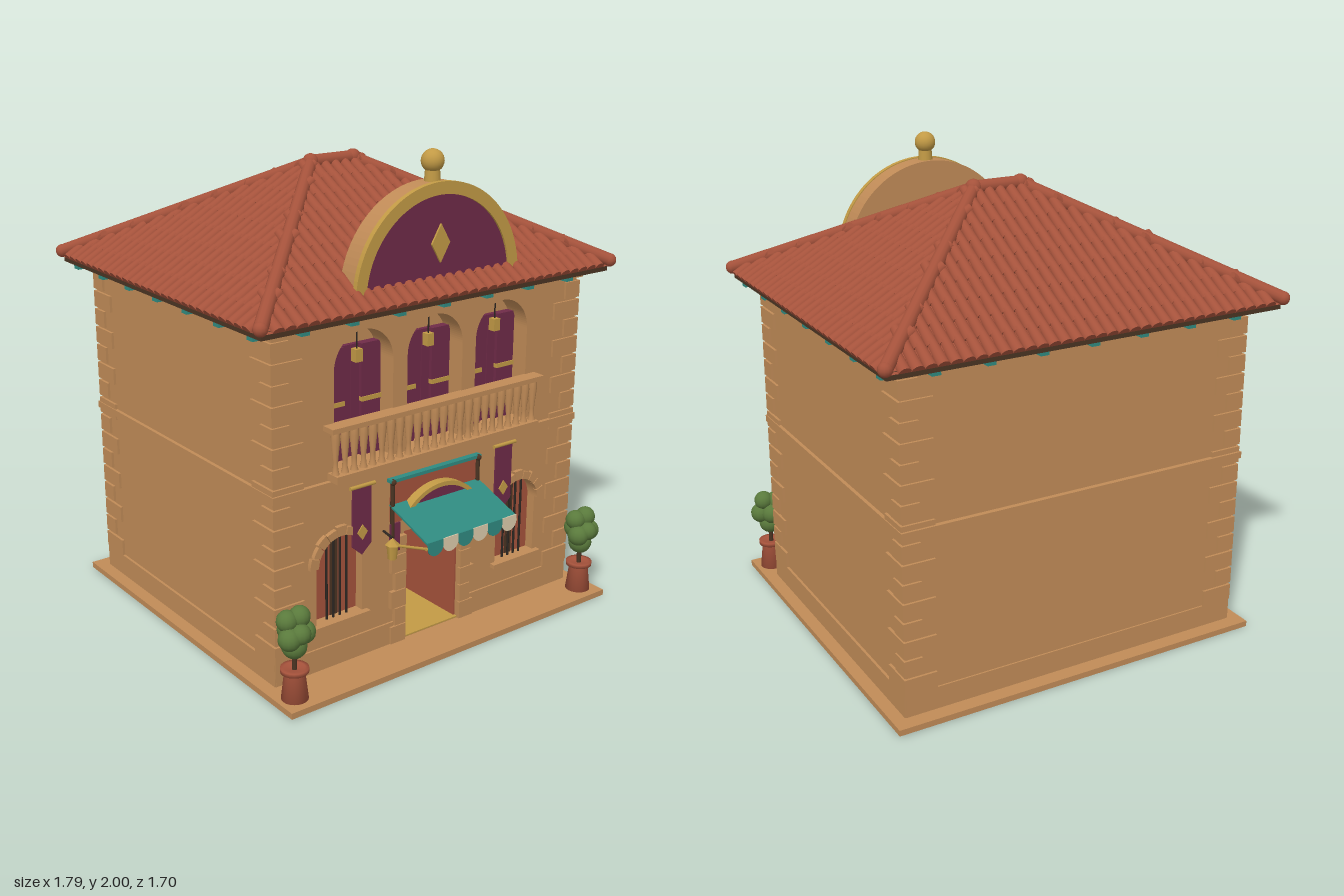
import * as THREE from 'three';
import { mergeGeometries } from 'three/addons/utils/BufferGeometryUtils.js';
import { ConvexGeometry } from 'three/addons/geometries/ConvexGeometry.js';

const mat = (name, color, side = THREE.FrontSide) => {
  const m = new THREE.MeshStandardMaterial({ color, side });
  m.name = name;
  return m;
};
const V = (x, y, z) => new THREE.Vector3(x, y, z);

export function createModel() {
  const root = new THREE.Group();
  root.name = 'townHouse';
  const wall = mat('sandstone', 0xc08b57), clay = mat('terracotta', 0xa5523b);
  const plum = mat('plum', 0x6f2b48, THREE.DoubleSide), gold = mat('gold', 0xc29a45);
  const teal = mat('teal', 0x2f8a80, THREE.DoubleSide), cream = mat('cream', 0xdccbab, THREE.DoubleSide);
  const dark = mat('darkWood', 0x4a3423), iron = mat('iron', 0x2c2621), leaf = mat('leaf', 0x5a7a3c);

  const add = (name, geo, m, x = 0, y = 0, z = 0) => {
    const mesh = new THREE.Mesh(geo, m);
    mesh.name = name;
    mesh.position.set(x, y, z);
    root.add(mesh);
    return mesh;
  };
  // Box given by its extents
  const box = (name, m, x0, x1, y0, y1, z0, z1) =>
    add(name, new THREE.BoxGeometry(x1 - x0, y1 - y0, z1 - z0), m, (x0 + x1) / 2, (y0 + y1) / 2, (z0 + z1) / 2);
  const slab = (shape, depth) => new THREE.ExtrudeGeometry(shape, { depth, bevelEnabled: false, curveSegments: 24 });
  // Round bar between two points
  const rod = (name, m, a, b, r, sides = 8) => {
    const mesh = add(name, new THREE.CylinderGeometry(r, r, a.distanceTo(b), sides), m);
    mesh.position.copy(a).lerp(b, 0.5);
    mesh.quaternion.setFromUnitVectors(V(0, 1, 0), b.clone().sub(a).normalize());
    return mesh;
  };
  // Round-headed opening outline
  const arched = (cx, y0, spring, r, S = THREE.Shape) => {
    const s = new S();
    s.moveTo(cx - r, y0);
    s.lineTo(cx + r, y0);
    s.lineTo(cx + r, spring);
    s.absarc(cx, spring, r, 0, Math.PI, false);
    s.closePath();
    return s;
  };
  const poly = (pts) => new THREE.Shape(pts.map(([x, y]) => new THREE.Vector2(x, y)));
  const ring = (ro, ri, a0 = 0, a1 = Math.PI) => {
    const s = new THREE.Shape();
    s.absarc(0, 0, ro, a0, a1, false);
    s.absarc(0, 0, ri, a1, a0, true);
    s.closePath();
    return s;
  };
  const diamond = (w, h) => slab(poly([[0, -h], [w, 0], [0, h], [-w, 0]]), 0.008);

  // Plinth, walls and openings
  box('plinth', wall, -0.83, 0.83, 0, 0.025, -0.8, 0.79);
  box('wallBody', wall, -0.765, 0.765, 0.025, 1.43, -0.73, 0.2);
  const front = poly([[-0.765, 0.025], [0.765, 0.025], [0.765, 1.43], [-0.765, 1.43]]);
  const upperX = [-0.35, 0, 0.35];
  for (const x of upperX) front.holes.push(arched(x, 0.84, 1.23, 0.14, THREE.Path));
  for (const x of [-0.465, 0.465]) front.holes.push(arched(x, 0.22, 0.465, 0.11, THREE.Path));
  front.holes.push(new THREE.Path(poly([[-0.145, 0.03], [0.145, 0.03], [0.145, 0.5], [-0.145, 0.5]]).getPoints()));
  add('frontWall', slab(front, 0.4), wall, 0, 0, 0.195);
  for (const s of [-1, 1]) {
    box('baseCourseFront', wall, s < 0 ? -0.772 : 0.2, s < 0 ? -0.2 : 0.772, 0.025, 0.12, 0.58, 0.603);
    box('baseCourseSide', wall, s * 0.77 - 0.006, s * 0.77 + 0.006, 0.025, 0.12, -0.735, 0.6);
  }
  box('baseCourseBack', wall, -0.77, 0.77, 0.025, 0.12, -0.737, -0.72);
  box('beltLower', wall, -0.77, 0.77, 0.765, 0.78, -0.737, 0.603);
  // Belts are hollow in effect: both stay clear of the openings
  box('beltUpper', wall, -0.78, 0.78, 0.78, 0.808, -0.75, 0.613);
  box('cornice', wall, -0.785, 0.785, 1.405, 1.432, -0.745, 0.612);

  // Corner quoins, alternately long and short
  for (let i = 0; i < 16; i++) {
    const w = i % 2 ? 0.14 : 0.08, y = 1.355 - 0.08 * i;
    for (const s of [-1, 1]) for (const [zo, d] of [[0.605, -1], [-0.74, 1]]) {
      add('quoin', new THREE.BoxGeometry(w, 0.07, w), wall, s * (0.776 - w / 2), y, zo + d * w / 2);
    }
  }

  // Upper windows with curtains and hanging lamps
  for (const x of upperX) {
    box('windowBack', wall, x - 0.14, x + 0.14, 0.84, 1.38, 0.47, 0.49);
    for (const s of [-1, 1]) {
      const c = x + s * 0.068;
      box('curtain', plum, c - 0.066, c + 0.066, 0.84, 1.29, 0.49, 0.51);
      box('curtainFold', plum, c + s * 0.02 - 0.046, c + s * 0.02 + 0.046, 0.84, 1.29, 0.51, 0.525);
      box('tieback', gold, c + s * 0.02 - 0.047, c + s * 0.02 + 0.047, 1.06, 1.078, 0.51, 0.53);
    }
    rod('lampChain', iron, V(x, 1.28, 0.55), V(x, 1.368, 0.55), 0.003);
    box('lamp', gold, x - 0.016, x + 0.016, 1.235, 1.285, 0.534, 0.566);
  }

  // Balcony
  box('balconyFloor', wall, -0.52, 0.52, 0.81, 0.84, 0.59, 0.655);
  box('balconyRail', wall, -0.54, 0.54, 1.012, 1.032, 0.59, 0.655);
  const baluster = new THREE.LatheGeometry([[0.016, 0], [0.011, 0.02], [0.01, 0.05], [0.019, 0.14], [0.016, 0.173]]
    .map(([r, y]) => new THREE.Vector2(r, y)), 10);
  for (let i = 0; i < 24; i++) add('baluster', baluster, wall, -0.506 + i * 0.044, 0.84, 0.625);

  // Lower windows: shutters, bars, stone arch and sill
  for (const x of [-0.465, 0.465]) {
    add('windowPanel', slab(arched(x, 0.22, 0.465, 0.11), 0.02), clay, 0, 0, 0.535);
    box('windowGap', dark, x - 0.018, x + 0.018, 0.22, 0.56, 0.55, 0.558);
    for (let i = 0; i < 4; i++) {
      const bx = x - 0.048 + i * 0.032;
      rod('windowBar', iron, V(bx, 0.22, 0.575), V(bx, 0.56, 0.575), 0.005);
    }
    for (let i = 0; i < 9; i++) {
      const a = (Math.PI / 9) * i;
      add('archStone', slab(ring(i % 2 ? 0.142 : 0.15, 0.11, a + 0.015, a + Math.PI / 9 - 0.015), 0.02), wall, x, 0.465, 0.593);
    }
    box('windowSill', wall, x - 0.135, x + 0.135, 0.203, 0.22, 0.59, 0.62);
  }

  // Doorway
  box('doorInterior', dark, -0.145, 0.145, 0.03, 0.5, 0.2, 0.208);
  box('threshold', gold, -0.144, 0.144, 0.03, 0.036, 0.208, 0.6);
  for (const s of [-1, 1]) {
    box('openDoor', clay, s * 0.141 - 0.004, s * 0.141 + 0.004, 0.036, 0.5, 0.21, 0.585);
    for (let i = 0; i < 6; i++) {
      const w = i % 2 ? 0.055 : 0.075;
      add('jambStone', new THREE.BoxGeometry(w, 0.074, 0.02), wall, s * (0.145 + w / 2), 0.065 + i * 0.078, 0.603);
    }
    box('doorDrape', plum, s * 0.21 - 0.025, s * 0.21 + 0.025, 0.44, 0.56, 0.613, 0.62);
  }
  for (const y of [0.2, 0.35]) box('doorRail', clay, -0.137, 0.137, y - 0.003, y + 0.003, 0.208, 0.214);

  // Sign panel and lunette above the door
  box('signPanel', clay, -0.22, 0.22, 0.56, 0.735, 0.595, 0.612);
  box('signTop', teal, -0.235, 0.235, 0.733, 0.747, 0.595, 0.622);
  for (const s of [-1, 1]) {
    rod('signPost', dark, V(s * 0.222, 0.5, 0.615), V(s * 0.222, 0.74, 0.615), 0.009);
    add('signKnob', new THREE.SphereGeometry(0.013, 10, 8), dark, s * 0.222, 0.735, 0.618);
  }
  const lunette = new THREE.Shape();
  lunette.absarc(0, 0, 0.22, 0.65, Math.PI - 0.65, false);
  add('lunette', slab(lunette, 0.03), plum, 0, 0.462, 0.612);
  add('lunetteTrim', slab(ring(0.23, 0.212, 0.65, Math.PI - 0.65), 0.04), gold, 0, 0.462, 0.612);

  // Awning with a scalloped valance
  const sheet = new THREE.BoxGeometry(0.46, 0.008, Math.hypot(0.235, 0.085));
  add('awning', sheet, teal, 0, 0.595, 0.7225).rotation.x = Math.atan(0.085 / 0.235);
  for (let i = 0; i < 6; i++) {
    const s = new THREE.Shape();
    s.moveTo(0.038, 0.025);
    s.lineTo(-0.038, 0.025);
    s.lineTo(-0.038, 0);
    s.absellipse(0, 0, 0.038, 0.036, Math.PI, Math.PI * 2, false, 0);
    add('scallop', slab(s, 0.004), i % 2 ? cream : teal, -0.1917 + i * 0.0767, 0.536, 0.838);
  }
  rod('awningBar', gold, V(-0.235, 0.535, 0.835), V(0.235, 0.535, 0.835), 0.006);
  for (const s of [-1, 1]) {
    rod('awningBrace', gold, V(s * 0.225, 0.535, 0.838), V(s * 0.225, 0.465, 0.6), 0.006);
    // Wall lantern
    add('lanternBody', new THREE.CylinderGeometry(0.024, 0.018, 0.06, 6), gold, s * 0.25, 0.462, 0.652);
    add('lanternCap', new THREE.ConeGeometry(0.03, 0.03, 6), gold, s * 0.25, 0.507, 0.652);
    rod('lanternArm', iron, V(s * 0.25, 0.52, 0.652), V(s * 0.25, 0.53, 0.595), 0.005);
    // Hanging banner
    const b = slab(poly([[-0.045, 0.76], [-0.045, 0.51], [0, 0.47], [0.045, 0.51], [0.045, 0.76]]), 0.008);
    add('banner', b, plum, s * 0.37, 0, 0.606);
    add('bannerDiamond', diamond(0.025, 0.032), gold, s * 0.37, 0.565, 0.61);
    rod('bannerRod', gold, V(s * 0.37 - 0.06, 0.758, 0.615), V(s * 0.37 + 0.06, 0.758, 0.615), 0.008);
    // Potted shrub
    const pot = [[0, 0], [0.053, 0], [0.04, 0.11], [0.055, 0.113], [0.055, 0.13], [0.04, 0.13], [0, 0.12]];
    add('pot', new THREE.LatheGeometry(pot.map(([r, y]) => new THREE.Vector2(r, y)), 20), clay, s * 0.757, 0.025, 0.705);
    rod('trunk', dark, V(s * 0.757, 0.14, 0.705), V(s * 0.757, 0.25, 0.705), 0.01);
    [[0, 0.245, 0, 0.05], [-0.035, 0.29, 0.02, 0.045], [0.038, 0.295, 0.01, 0.045], [0, 0.3, -0.035, 0.046],
      [0.005, 0.305, 0.035, 0.04], [-0.025, 0.35, -0.01, 0.042], [0.025, 0.358, 0, 0.042]].forEach(([x, y, z, r]) =>
      add('foliage', new THREE.SphereGeometry(r, 14, 10), leaf, s * 0.757 + x, y, 0.705 + z));
  }

  // Hipped roof: core, eaves and brackets
  const X = 0.87, Z = 0.7625, cz = -0.0775, y0 = 1.455, y1 = 1.865, R = X - Z;
  const roofPts = [V(-R, y1, cz), V(R, y1, cz)];
  for (const sx of [-1, 1]) for (const sz of [-1, 1]) roofPts.push(V(sx * X, y0, cz + sz * Z));
  add('roofCore', new ConvexGeometry(roofPts), clay);
  box('eaves', dark, -0.86, 0.86, 1.432, 1.462, cz - 0.752, cz + 0.752);
  for (let i = -3; i <= 3; i++) for (const s of [-1, 1]) {
    add('eavesBracket', new THREE.BoxGeometry(0.036, 0.022, 0.06), teal, i * 0.22, 1.423, cz + s * 0.705);
    add('eavesBracket', new THREE.BoxGeometry(0.06, 0.022, 0.036), teal, s * 0.82, 1.423, cz + i * 0.222);
  }

  // Barrel tiles: one slope's geometry, then its opposite by rotation
  const slope = Math.atan((y1 - y0) / Z), rows = 9, step = Z / rows;
  const tileGeo = new THREE.CylinderGeometry(0.02, 0.025, (step / Math.cos(slope)) * 1.12, 8, 1, false, -Math.PI / 2, Math.PI);
  tileGeo.rotateX(slope - Math.PI / 2 + 0.07);
  const tiles = (half, dist) => {
    const parts = [], cols = Math.round((2 * half) / 0.05), p = (2 * half) / cols;
    for (let r = 0; r < rows; r++) for (let c = 0; c < cols; c++) {
      const s = (r + 0.5) * step, u = (c + 0.5) * p - half;
      if (Math.abs(u) < half - s + 0.012) parts.push(tileGeo.clone().translate(u, y0 + s * Math.tan(slope) + 0.006, dist - s));
    }
    return mergeGeometries(parts);
  };
  const longSide = tiles(X, Z), shortSide = tiles(Z, X);
  for (let k = 0; k < 4; k++) add('roofTiles', k % 2 ? shortSide : longSide, clay, 0, 0, cz).rotation.y = (k * Math.PI) / 2;

  // Ridge and hip caps
  const ball = new THREE.SphereGeometry(0.034, 14, 10);
  rod('ridgeCap', clay, V(-R, y1 + 0.015, cz), V(R, y1 + 0.015, cz), 0.028, 12);
  for (const sx of [-1, 1]) {
    add('ridgeEnd', ball, clay, sx * R, y1 + 0.015, cz);
    for (const sz of [-1, 1]) {
      const foot = V(sx * (X - 0.005), y0 + 0.022, cz + sz * (Z - 0.005));
      rod('hipCap', clay, V(sx * R, y1 + 0.012, cz), foot, 0.027, 12);
      add('hipEnd', new THREE.SphereGeometry(0.028, 12, 8), clay, foot.x, foot.y, foot.z);
    }
  }

  // Round pediment with finial
  const half = (r, a) => {
    const s = new THREE.Shape();
    s.absarc(0, 0, r, a, Math.PI - a, false);
    return s;
  };
  add('pedimentBody', slab(half(0.4, 0), 0.09), wall, 0, 1.48, 0.508);
  add('pedimentPanel', slab(half(0.36, 0.1), 0.008), plum, 0, 1.48, 0.597);
  add('pedimentTrim', slab(ring(0.404, 0.355), 0.022), gold, 0, 1.48, 0.592);
  add('pedimentDiamond', diamond(0.045, 0.075), gold, 0, 1.65, 0.606);
  add('finialNeck', new THREE.CylinderGeometry(0.028, 0.032, 0.06, 16), gold, 0, 1.9, 0.555);
  add('finialBall', new THREE.SphereGeometry(0.045, 20, 14), gold, 0, 1.955, 0.555);

  return root;
}
